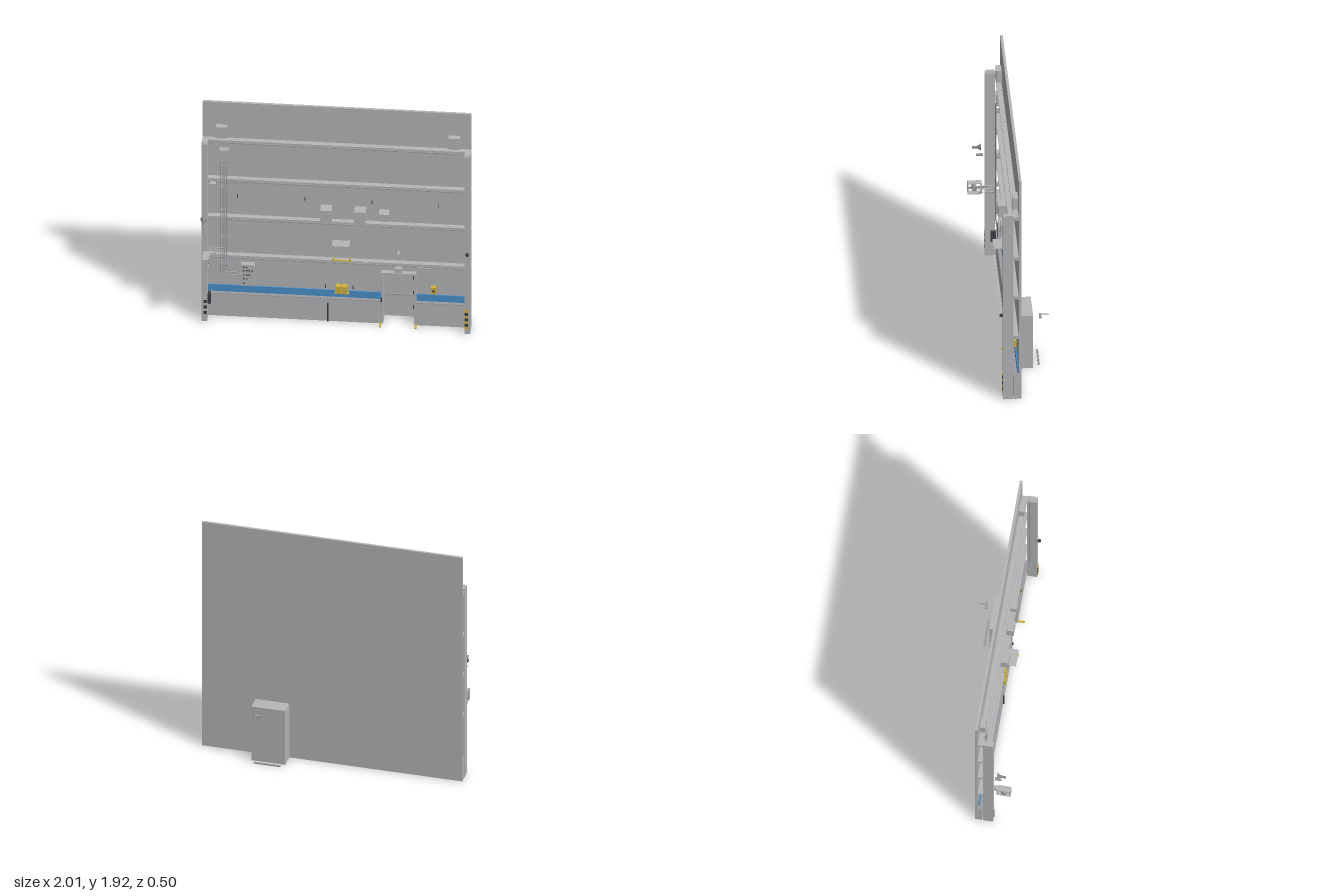
import * as THREE from 'three';

const mat = (name, color, side = THREE.FrontSide) => {
  const m = new THREE.MeshStandardMaterial({ color, side });
  m.name = name;
  return m;
};

export function createModel() {
  const root = new THREE.Group();
  root.name = 'warehouseWall';
  const grey = mat('wall grey', 0xb5b6b8);
  const blue = mat('band blue', 0x4a90cc);
  const yellow = mat('safety yellow', 0xd2b13c);
  const dark = mat('dark grey', 0x3c3e42);
  const steel = mat('steel grey', 0x9a9c9f);

  const add = (name, geo, m, parent = root) => {
    const mesh = new THREE.Mesh(geo, m);
    mesh.name = name;
    parent.add(mesh);
    return mesh;
  };
  // Box given by its limits on each axis
  const box = (name, x0, x1, y0, y1, z0, z1, m = grey, parent = root) => {
    const mesh = add(name, new THREE.BoxGeometry(x1 - x0, y1 - y0, z1 - z0), m, parent);
    mesh.position.set((x0 + x1) / 2, (y0 + y1) / 2, (z0 + z1) / 2);
    return mesh;
  };
  // Straight-legged pipe through corner points
  const pipe = (name, pts, r, m = grey) => {
    const path = new THREE.CurvePath();
    const v = pts.map(p => new THREE.Vector3(...p));
    for (let i = 1; i < v.length; i++) path.add(new THREE.LineCurve3(v[i - 1], v[i]));
    return add(name, new THREE.TubeGeometry(path, 40, r, 8), m);
  };

  // Back wall with a doorway cut from the bottom edge
  const D0 = 0.335, D1 = 0.585, DH = 0.455;
  const s = new THREE.Shape();
  [[-1, 0], [D0, 0], [D0, DH], [D1, DH], [D1, 0], [1, 0], [1, 1.92], [-1, 1.92]]
    .forEach(([x, y], i) => (i ? s.lineTo(x, y) : s.moveTo(x, y)));
  const wall = add('wall', new THREE.ExtrudeGeometry(s, { depth: 0.02, bevelEnabled: false }), grey);
  wall.position.z = -0.015;

  // Plinth and blue band on both sides of the doorway
  for (const [x0, x1] of [[-1, D0], [D1, 1]]) {
    box('plinth', x0, x1, 0, 0.2, 0.005, 0.04);
    box('plinthCap', x0, x1, 0.2, 0.204, 0.005, 0.042, steel);
    box('blueBand', Math.max(x0, -0.96), Math.min(x1, 0.96), 0.204, 0.262, 0.005, 0.014, blue);
  }

  // Horizontal girders as C-channels
  for (const y of [1.575, 1.225, 0.88, 0.53]) {
    box('girderWeb', -1, 1, y, y + 0.027, 0.005, 0.035);
    box('girderTopFlange', -1, 1, y + 0.022, y + 0.027, 0.035, 0.045);
    box('girderBottomFlange', -1, 1, y, y + 0.006, 0.035, 0.045, steel);
  }

  // End columns with hazard stripes
  for (const sx of [-1, 1]) {
    const col = new THREE.Group();
    col.name = sx < 0 ? 'rightColumn' : 'leftColumn';
    root.add(col);
    box('columnShaft', ...(sx < 0 ? [-1, -0.957] : [0.957, 1]), 0, 1.61, 0.045, 0.122, grey, col);
    box('columnCap', ...(sx < 0 ? [-1, -0.97] : [0.97, 1]), 1.6, 1.618, 0.05, 0.11, grey, col);
    for (let i = 0; i < 7; i++) {
      const y = 0.045 + i * 0.025;
      box('hazardStripe', sx * 0.972 - 0.012, sx * 0.972 + 0.012, y, y + 0.025, 0.122, 0.127,
        i % 2 ? dark : sx > 0 ? yellow : grey, col);
    }
  }
  box('columnGuard', -0.957, -0.935, 0.13, 0.22, 0.04, 0.08, dark);
  add('columnKnob', new THREE.SphereGeometry(0.014, 16, 12), dark).position.set(0.98, 0.73, 0.134);
  box('columnConduit', 0.953, 0.958, 0.29, 1.6, 0.06, 0.07, steel);

  // Door recess: shell behind the wall, lining, leaf and fittings
  const door = new THREE.Group();
  door.name = 'door';
  root.add(door);
  box('recessBack', 0.33, 0.59, 0, 0.462, -0.13, -0.07, grey, door);
  box('recessSide', 0.33, 0.345, 0, 0.462, -0.07, 0.04, grey, door);
  box('recessSide', 0.575, 0.59, 0, 0.462, -0.07, 0.04, grey, door);
  box('recessTop', 0.345, 0.575, 0.447, 0.462, -0.07, 0.04, grey, door);
  box('doorLeaf', 0.358, 0.562, 0.006, 0.435, -0.07, -0.06, grey, door);
  box('pushBar', 0.362, 0.56, 0.205, 0.213, -0.06, -0.045, steel, door);
  box('doorCloser', 0.49, 0.545, 0.405, 0.42, -0.06, -0.04, steel, door);
  box('closerArm', 0.40, 0.55, 0.422, 0.426, -0.05, -0.042, dark, door);
  const peep = add('doorSign', new THREE.CylinderGeometry(0.012, 0.012, 0.006, 20), dark, door);
  peep.rotation.x = Math.PI / 2;
  peep.position.set(0.4, 0.397, -0.057);
  for (const y of [0.08, 0.21, 0.35]) box('hinge', 0.56, 0.566, y, y + 0.03, -0.06, -0.052, dark, door);
  box('doorLatch', 0.327, 0.337, 0.2, 0.235, 0.04, 0.05, dark, door);
  // Rear door fittings
  box('rearSill', 0.355, 0.56, 0.006, 0.014, -0.182, -0.166, steel, door);
  box('rearCloserBody', 0.5, 0.555, 0.412, 0.426, -0.195, -0.178, steel, door);
  box('rearCloserArm', 0.525, 0.533, 0.43, 0.434, -0.25, -0.185, steel, door);
  for (const x of [0.325, 0.59]) box('floorMarker', x - 0.007, x + 0.007, 0, 0.01, 0.04, 0.092, yellow);

  // Wall-mounted grey boxes: x0, x1, y0, y1, front z
  [[-0.9, -0.815, 1.62, 1.72, 0.046], [0.83, 0.917, 1.62, 1.72, 0.046],
    [-0.875, -0.805, 1.415, 1.51, 0.046],
    [-0.12, -0.035, 0.935, 1.033, 0.085], [0.133, 0.217, 0.935, 1.033, 0.085],
    [0.315, 0.39, 0.953, 1.017, 0.075],
    [0.432, 0.486, 0.47, 0.507, 0.045], [0.607, 0.69, 0.461, 0.525, 0.045],
    [0.45, 0.468, 0.615, 0.645, 0.05], [0.712, 0.733, 0.503, 0.523, 0.035],
    [0.205, 0.23, 0.535, 0.556, 0.055], [-0.945, -0.9, 1.17, 1.2, 0.045]]
    .forEach(([x0, x1, y0, y1, z]) => box('wallBox', x0, x1, y0, y1, 0.005, z));
  for (const [x, y] of [[-0.74, 1.08], [-0.24, 1.08], [0.26, 1.08], [0.757, 1.08], [-0.085, 0.295], [0.12, 0.295]])
    box('wallClip', x - 0.003, x + 0.003, y - 0.012, y + 0.012, 0.005, 0.018, dark);

  // Control panel with rows of switches
  box('controlPanel', -0.71, -0.612, 0.285, 0.475, 0.005, 0.046);
  for (const [y, n] of [[0.455, 2], [0.425, 4], [0.385, 3], [0.35, 2], [0.31, 1]])
    for (let i = 0; i < n; i++)
      box('panelSwitch', -0.695 + i * 0.02, -0.684 + i * 0.02, y - 0.005, y + 0.005, 0.046, 0.05, dark);

  // Bundle of pipes from the upper box to the control panel
  for (let i = 0; i < 4; i++) {
    const x = -0.86 + i * 0.013, y = 0.385 + i * 0.012;
    pipe('conduit', [[x, 1.415, 0.05], [x, y, 0.05], [-0.705, y, 0.05]].map(p => [p[0], p[1], 0.048]), 0.0035, i % 2 ? steel : grey);
  }
  for (const y of [0.46, 0.7, 0.95, 1.16, 1.35])
    box('conduitClamp', -0.87, -0.812, y, y + 0.008, 0.005, 0.046, steel);
  for (const y of [0.57, 0.6, 0.625])
    pipe('branchPipe', [[-0.84, y, 0.048], [-0.945, y, 0.048], [-0.945, y, 0.17]], 0.0045);

  // Square bracket frame beside the column, holding a hub
  const frame = new THREE.Group();
  frame.name = 'lampFrame';
  root.add(frame);
  for (const y of [0.555, 0.645]) box('frameRail', -0.985, -0.94, y, y + 0.006, 0.145, 0.25, grey, frame);
  for (const z of [0.145, 0.244]) box('framePost', -0.985, -0.94, 0.555, 0.651, z, z + 0.006, grey, frame);
  const hub = add('lampHub', new THREE.CylinderGeometry(0.02, 0.02, 0.05, 20), steel, frame);
  hub.rotation.z = Math.PI / 2;
  hub.position.set(-0.963, 0.603, 0.2);
  box('hubBar', -0.97, -0.955, 0.597, 0.609, 0.122, 0.244, steel, frame);

  // Horn and smaller beacon on the column front
  const horn = add('horn', new THREE.LatheGeometry(
    [[0.008, 0], [0.009, 0.03], [0.014, 0.05], [0.026, 0.066]].map(p => new THREE.Vector2(...p)), 20),
  mat('horn grey', 0x85878a, THREE.DoubleSide));
  horn.rotation.x = Math.PI / 2;
  horn.rotation.z = 0;
  horn.scale.y = -1;
  horn.position.set(-0.98, 0.947, 0.216);
  const beacon = add('beacon', new THREE.CylinderGeometry(0.008, 0.013, 0.05, 16), steel);
  beacon.rotation.x = Math.PI / 2;
  beacon.position.set(-0.98, 0.88, 0.158);

  // Flat shelf and its yellow brackets
  box('shelf', -0.03, 0.1, 0.742, 0.747, 0.05, 0.13);
  for (const x of [-0.025, 0.1]) box('shelfBracket', x - 0.005, x + 0.005, 0.55, 0.59, 0.04, 0.052, yellow);
  box('bracketPlate', -0.03, 0.105, 0.556, 0.561, 0.038, 0.05, yellow);

  // Yellow boxes above the plinth
  for (const [x0, x1] of [[-0.01, 0.032], [0.038, 0.076]])
    box('yellowBox', x0, x1, 0.255, 0.317, 0.005, 0.045, yellow);
  box('yellowFoot', -0.015, 0.09, 0.252, 0.257, 0.005, 0.045, yellow);
  box('yellowCallBox', 0.7, 0.738, 0.285, 0.345, 0.005, 0.04, yellow);
  const dial = add('callButton', new THREE.CylinderGeometry(0.009, 0.009, 0.006, 16), dark);
  dial.rotation.x = Math.PI / 2;
  dial.position.set(0.72, 0.318, 0.043);

  // Short pole on the plinth
  box('plinthPole', -0.07, -0.062, 0, 0.165, 0.04, 0.05, dark);
  return root;
}
